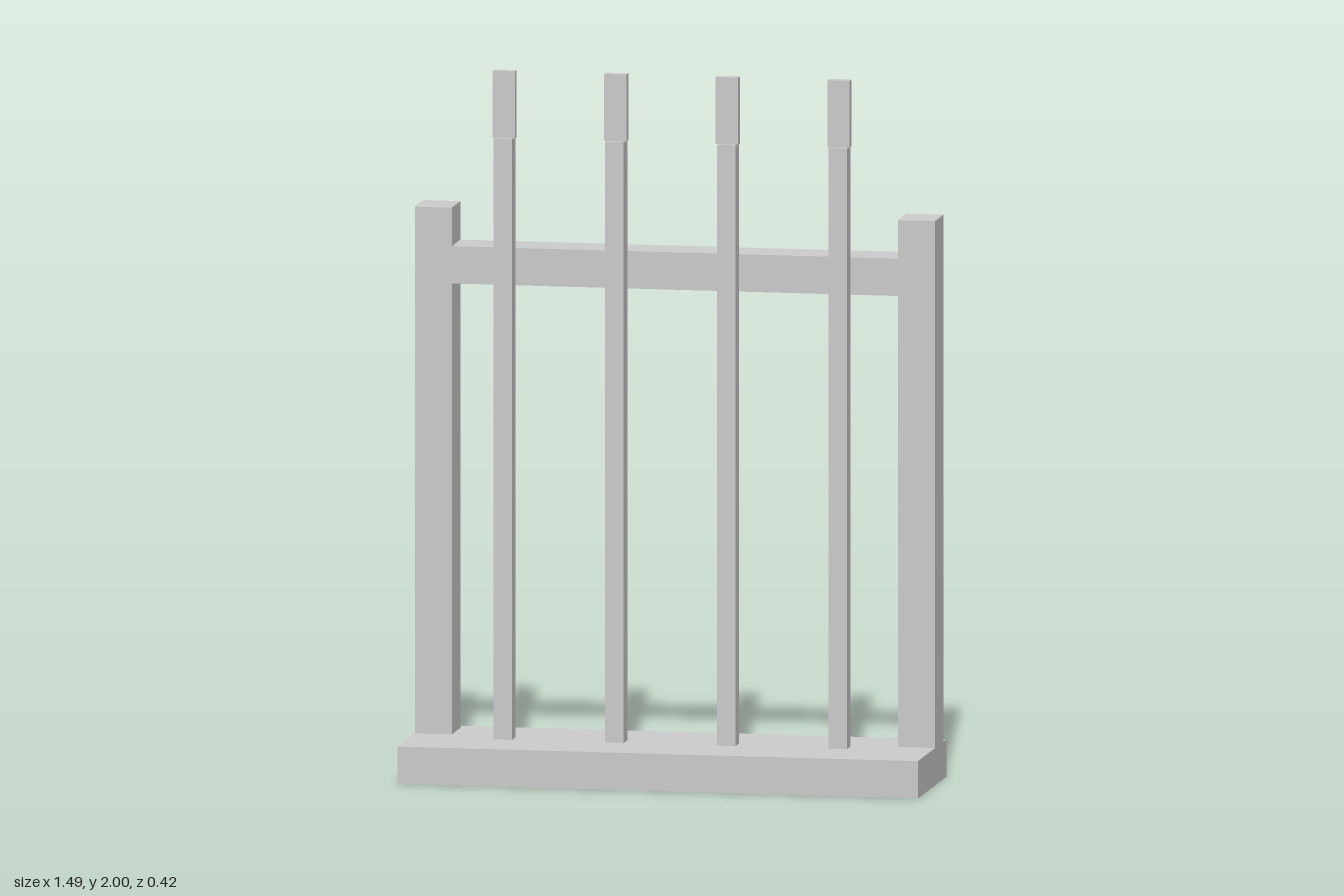
import * as THREE from 'three';

export function createModel() {
  const group = new THREE.Group();
  const grey = new THREE.MeshStandardMaterial({ color: 0xcccccc });
  grey.name = 'light grey';

  // Box given by its size, its centre in x and z, and its underside in y
  function box(name, w, h, d, x, bottom, z) {
    const mesh = new THREE.Mesh(new THREE.BoxGeometry(w, h, d), grey);
    mesh.name = name;
    mesh.position.set(x, bottom + h / 2, z);
    group.add(mesh);
  }

  const frameZ = -0.107;
  const frameDepth = 0.127;

  // Base slab and rear frame
  box('base', 1.486, 0.106, 0.424, 0, 0, 0);
  box('crossRail', 1.274, 0.106, frameDepth, 0, 1.385, frameZ);
  box('leftPost', 0.106, 1.494, frameDepth, 0.69, 0.106, frameZ);
  box('rightPost', 0.106, 1.494, frameDepth, -0.69, 0.106, frameZ);

  // Row of upright poles, each with a thin flat head
  for (let i = 0; i < 4; i++) {
    const x = -0.478 + i * 0.3187;
    box('pole' + (i + 1), 0.053, 1.704, 0.053, x, 0.106, 0);
    box('poleHead' + (i + 1), 0.064, 0.19, 0.027, x, 1.81, 0);
  }

  return group;
}
